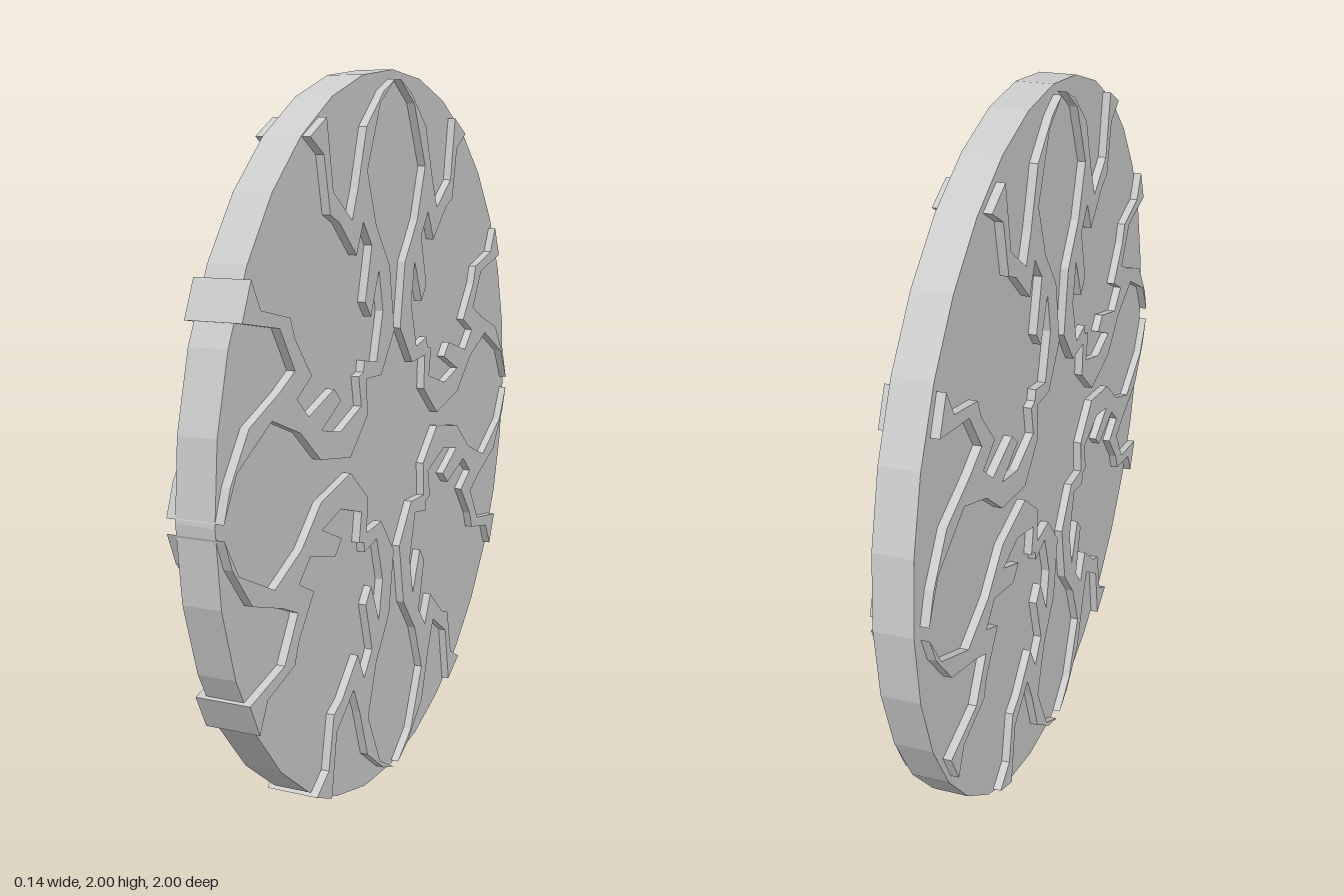
import * as THREE from 'three';

const MATERIAL = new THREE.MeshStandardMaterial({ color: 0xcccccc, flatShading: true });
const DISC_THICKNESS = 0.1;
const BRANCH_THICKNESS = 0.145;
// Point about which the four branch pieces mirror
const CENTRE_Z = 0.0175;
const CENTRE_Y = 0.9925;

// Upright half of one branch piece as [distance sideways, distance outward]
// Petal side, from the inner elbow out to the rim tip
const petalSide = [
  [0.112, 0.205], [0.021, 0.315], [0.055, 0.495], [0.145, 0.605],
  [0.203, 0.75], [0.118, 0.92], [0.018, 0.982],
];
// Twig side, from the rim tip back to the fork
const twigSide = [
  [0.095, 0.95], [0.208, 0.86], [0.262, 0.71], [0.3, 0.63],
  [0.41, 0.705], [0.444, 0.882], [0.535, 0.837], [0.462, 0.795],
  [0.428, 0.65], [0.375, 0.628], [0.273, 0.54], [0.23, 0.622],
  [0.176, 0.558], [0.219, 0.414], [0.182, 0.372], [0.128, 0.489],
  [0.102, 0.377], [0.144, 0.246], [0.225, 0.262],
];

// Full piece: upright half plus its reflection across the diagonal
function branchOutline() {
  const half = [...petalSide, ...twigSide];
  const reflected = half.map(([a, r]) => [r, a]).reverse();
  return [[0.211, 0.211], ...half, [0.232, 0.232], ...reflected];
}

function branchGeometry(signZ, signY) {
  const points = branchOutline().map(([z, y]) =>
    new THREE.Vector2(CENTRE_Z + signZ * z, CENTRE_Y + signY * y));
  const geometry = new THREE.ExtrudeGeometry(new THREE.Shape(points), {
    depth: BRANCH_THICKNESS, bevelEnabled: false,
  });
  geometry.translate(0, 0, -BRANCH_THICKNESS / 2);
  geometry.rotateY(-Math.PI / 2); // shape x becomes world z
  return geometry;
}

export function createModel() {
  const group = new THREE.Group();
  group.name = 'branchedDisc';

  // 32-sided disc lying across the x axis
  const discGeometry = new THREE.CylinderGeometry(1, 1, DISC_THICKNESS, 32);
  discGeometry.rotateZ(Math.PI / 2);
  const disc = new THREE.Mesh(discGeometry, MATERIAL);
  disc.name = 'disc';
  disc.position.y = 1;
  group.add(disc);

  // Raised branches pass through the disc and show on both faces
  for (const signZ of [1, -1]) {
    for (const signY of [1, -1]) {
      const branch = new THREE.Mesh(branchGeometry(signZ, signY), MATERIAL);
      branch.name = `${signY > 0 ? 'upper' : 'lower'}${signZ > 0 ? 'Front' : 'Back'}Branch`;
      group.add(branch);
    }
  }
  return group;
}
